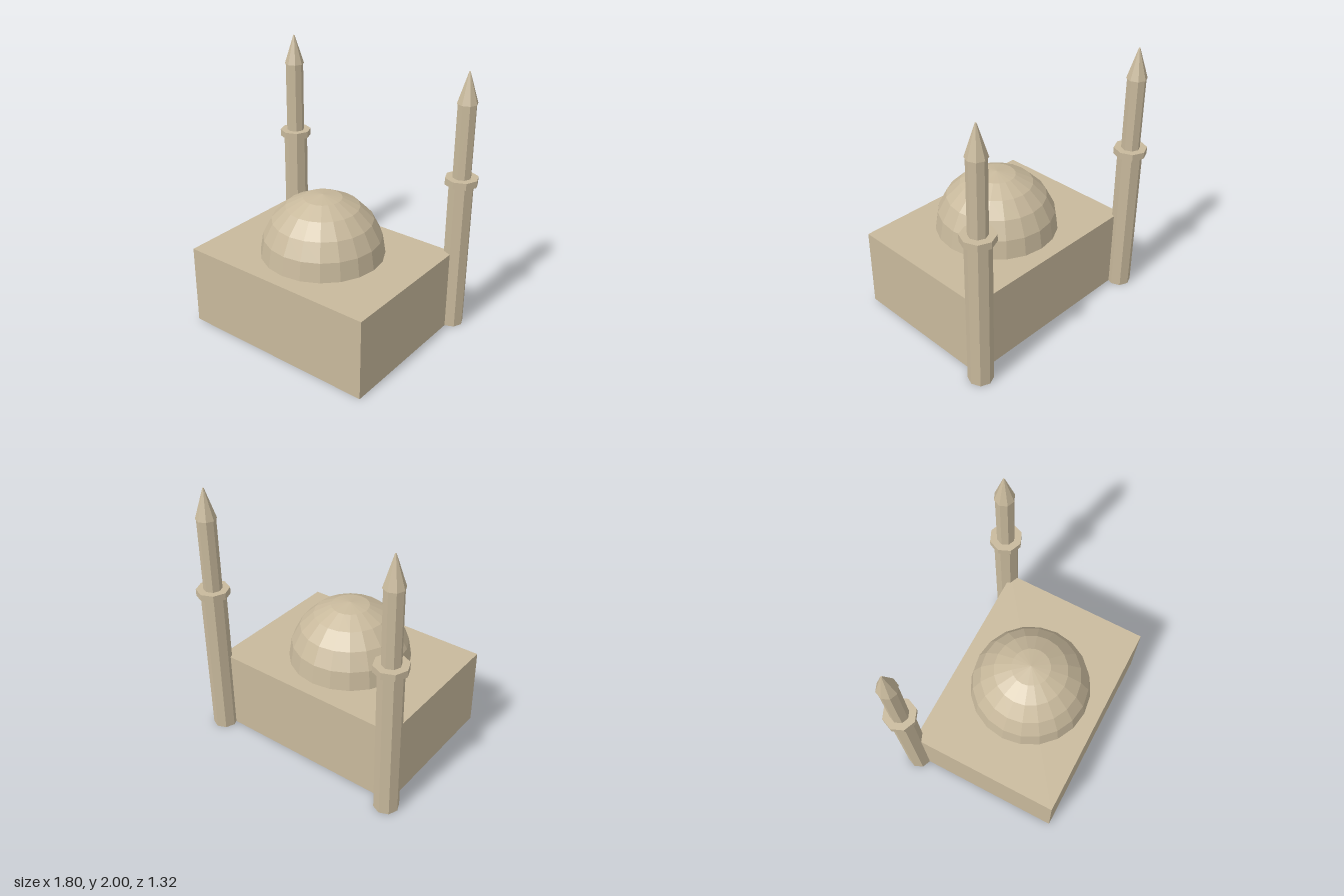
import * as THREE from 'three';

const stone = new THREE.MeshStandardMaterial({ color: 0xc8b99c, flatShading: true });

function part(name, geometry, x, y, z) {
  const mesh = new THREE.Mesh(geometry, stone);
  mesh.name = name;
  mesh.position.set(x, y, z);
  return mesh;
}

// Eight-sided tower section standing between two heights
function section(name, rTop, rBottom, y0, y1) {
  return part(name, new THREE.CylinderGeometry(rTop, rBottom, y1 - y0, 8), 0, (y0 + y1) / 2, 0);
}

function tower(name, x, z) {
  const group = new THREE.Group();
  group.name = name;
  group.position.set(x, 0, z);
  group.add(
    section('lowerShaft', 0.093, 0.093, 0, 1.17),
    section('balcony', 0.123, 0.123, 1.17, 1.222),
    section('upperShaft', 0.069, 0.069, 1.222, 1.775),
    section('spire', 0.005, 0.076, 1.775, 2)
  );
  return group;
}

export function createModel() {
  const model = new THREE.Group();
  model.name = 'domedHall';

  const height = 0.624, centreZ = 0.081;
  model.add(part('hall', new THREE.BoxGeometry(1.554, height, 1.16), 0, height / 2, centreZ));

  // Faceted hemisphere on the flat roof
  const dome = new THREE.SphereGeometry(0.465, 20, 5, 0, Math.PI * 2, 0, Math.PI / 2);
  model.add(part('dome', dome, 0, height, centreZ));

  // Towers at the two back corners
  for (const side of [-1, 1]) {
    model.add(tower(side > 0 ? 'leftTower' : 'rightTower', side * 0.777, -0.538));
  }
  return model;
}
